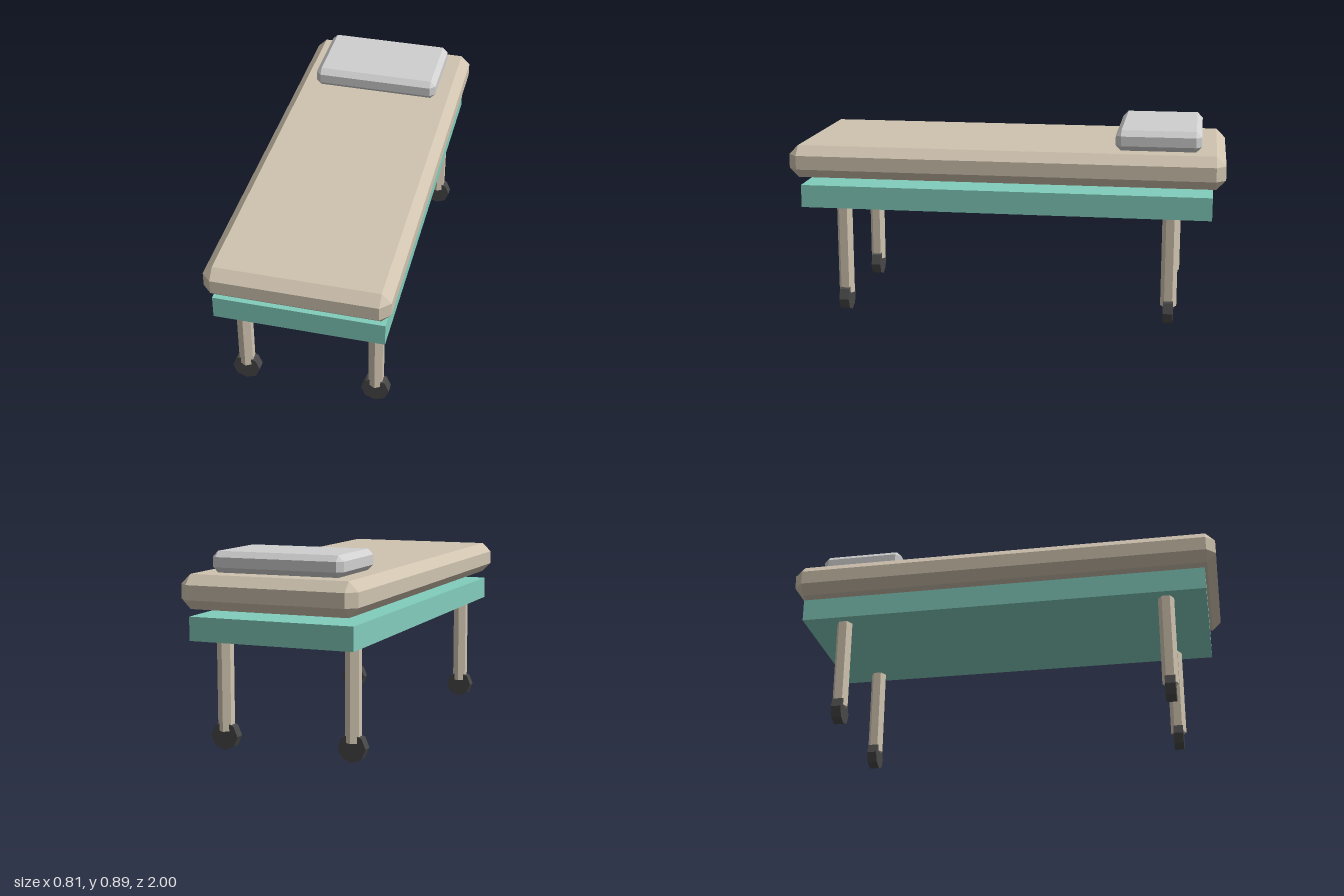
import * as THREE from 'three';
import { ConvexGeometry } from 'three/addons/geometries/ConvexGeometry.js';

const material = (name, color) => Object.assign(new THREE.MeshStandardMaterial({ color, flatShading: true }), { name });

// Box whose edges are all cut at 45 degrees, with triangular corners
function chamferedBox(width, height, depth, cut) {
  const [x, y, z] = [width / 2, height / 2, depth / 2];
  const points = [];
  for (const sx of [-1, 1]) for (const sy of [-1, 1]) for (const sz of [-1, 1]) {
    points.push(
      new THREE.Vector3(sx * x, sy * (y - cut), sz * (z - cut)),
      new THREE.Vector3(sx * (x - cut), sy * y, sz * (z - cut)),
      new THREE.Vector3(sx * (x - cut), sy * (y - cut), sz * z)
    );
  }
  return new ConvexGeometry(points);
}

export function createModel() {
  const model = new THREE.Group();
  model.name = 'wheeledBed';
  const beige = material('beige', 0xd0c4b0);
  const teal = material('teal', 0x82cdbc);
  const paleGrey = material('pale grey', 0xd0d0d0);
  const darkGrey = material('dark grey', 0x484848);

  const add = (name, geometry, mat, x, y, z) => {
    const mesh = new THREE.Mesh(geometry, mat);
    mesh.name = name;
    mesh.position.set(x, y, z);
    model.add(mesh);
  };

  // Bed frame, mattress and pillow
  add('frame', new THREE.BoxGeometry(0.756, 0.105, 1.89), teal, 0, 0.5635, 0);
  add('mattress', chamferedBox(0.81, 0.15, 2, 0.043), beige, 0, 0.726, 0);
  add('pillow', chamferedBox(0.604, 0.094, 0.386, 0.025), paleGrey, 0, 0.847, -0.696);

  // Four hexagonal legs, each on an eight-sided wheel
  const leg = new THREE.CylinderGeometry(0.037, 0.037, 0.426, 6);
  const wheel = new THREE.CylinderGeometry(0.064, 0.064, 0.046, 8).rotateX(Math.PI / 2);
  for (const [end, z] of [['front', 0.76], ['back', -0.76]]) {
    for (const [side, x] of [['Left', 0.303], ['Right', -0.303]]) {
      add(`${end}${side}Leg`, leg, beige, x, 0.3, z);
      add(`${end}${side}Wheel`, wheel, darkGrey, x, 0.065, z);
    }
  }
  return model;
}
